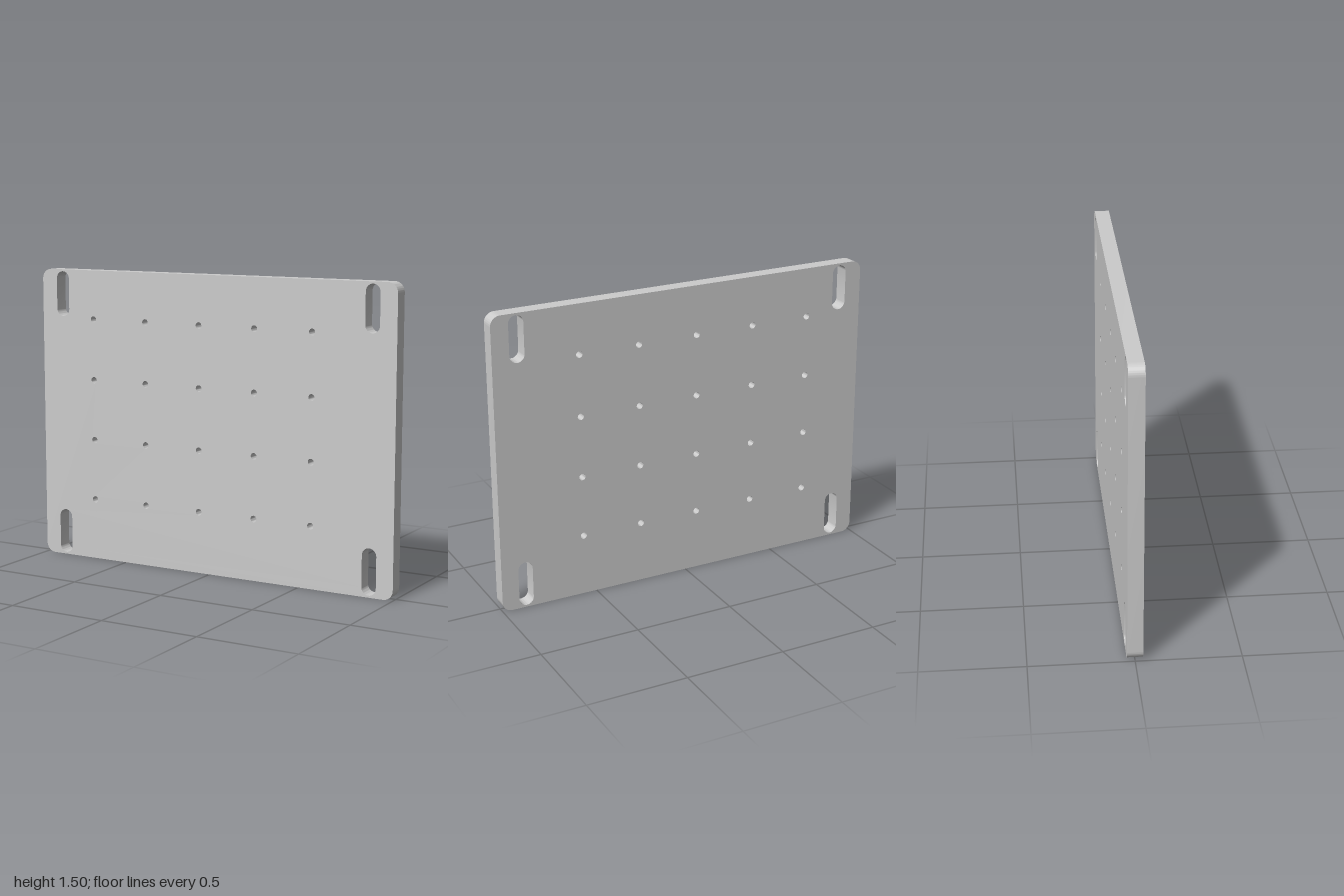
import * as THREE from 'three';
import { toCreasedNormals } from 'three/addons/utils/BufferGeometryUtils.js';

const WIDTH = 2, HEIGHT = 1.5, DEPTH = 0.075, CORNER = 0.05;

// Rounded rectangle centred on (cx, cy); r equal to w / 2 gives a slot
function roundedRect(path, cx, cy, w, h, r) {
  const x = w / 2 - r, y = h / 2 - r, q = Math.PI / 2;
  path.moveTo(cx + w / 2, cy - y);
  path.absarc(cx + x, cy + y, r, 0, q);
  path.absarc(cx - x, cy + y, r, q, 2 * q);
  path.absarc(cx - x, cy - y, r, 2 * q, 3 * q);
  path.absarc(cx + x, cy - y, r, 3 * q, 4 * q);
  path.closePath();
  return path;
}

export function createModel() {
  const outline = roundedRect(new THREE.Shape(), 0, HEIGHT / 2, WIDTH, HEIGHT, CORNER);

  // Vertical mounting slots near the four corners
  for (const x of [-0.875, 0.875]) {
    for (const y of [0.125, 1.375]) {
      outline.holes.push(roundedRect(new THREE.Path(), x, y, 0.075, 0.23, 0.0375));
    }
  }

  // Grid of small round holes, set slightly to one side
  for (let col = 0; col < 5; col++) {
    for (let row = 0; row < 4; row++) {
      const hole = new THREE.Path();
      hole.absarc(-0.6875 + col * 0.3125, 0.3125 + row * 0.3125, 0.0165, 0, Math.PI * 2);
      outline.holes.push(hole);
    }
  }

  const geometry = new THREE.ExtrudeGeometry(outline, {
    depth: DEPTH, bevelEnabled: false, curveSegments: 12,
  });
  geometry.translate(0, 0, -DEPTH / 2);

  const plate = new THREE.Mesh(
    toCreasedNormals(geometry, 0.6),
    new THREE.MeshStandardMaterial({ color: 0xcccccc })
  );
  plate.name = 'mountingPlate';

  const group = new THREE.Group();
  group.name = 'perforatedPlate';
  group.add(plate);
  return group;
}
